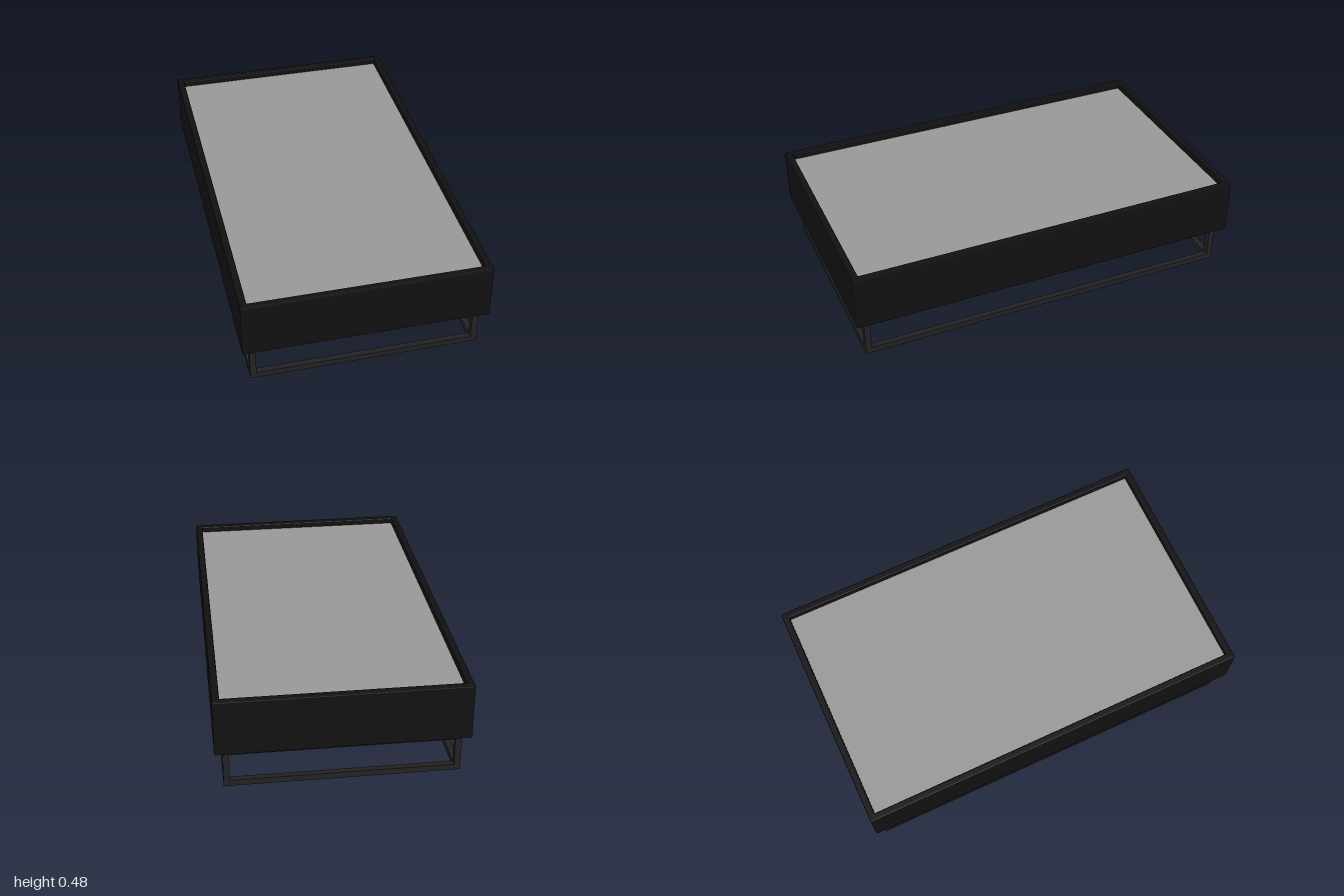
import * as THREE from 'three';

// Rectangle centred on the origin with small rounded corners
function roundedRect(path, hw, hd, r) {
  path.moveTo(-hw + r, -hd);
  path.lineTo(hw - r, -hd);
  path.quadraticCurveTo(hw, -hd, hw, -hd + r);
  path.lineTo(hw, hd - r);
  path.quadraticCurveTo(hw, hd, hw - r, hd);
  path.lineTo(-hw + r, hd);
  path.quadraticCurveTo(-hw, hd, -hw, hd - r);
  path.lineTo(-hw, -hd + r);
  path.quadraticCurveTo(-hw, -hd, -hw + r, -hd);
  return path;
}

export function createModel() {
  const model = new THREE.Group();
  model.name = 'coffeeTable';

  const caseMat = new THREE.MeshStandardMaterial({ color: 0x111111 });
  const frameMat = new THREE.MeshStandardMaterial({ color: 0x222222 });
  const panelMat = new THREE.MeshStandardMaterial({ color: 0x999999 });

  const W = 1.19, D = 2, bottom = 0.2, top = 0.48, rim = 0.035, bevel = 0.006;

  function box(name, parent, mat, w, h, d, x, y, z) {
    const mesh = new THREE.Mesh(new THREE.BoxGeometry(w, h, d), mat);
    mesh.name = name;
    mesh.position.set(x, y, z);
    parent.add(mesh);
  }

  // Case walls: a softly bevelled ring, open at the top
  const shape = roundedRect(new THREE.Shape(), W / 2, D / 2, 0.008);
  shape.holes.push(roundedRect(new THREE.Path(), W / 2 - rim, D / 2 - rim, 0.002));
  const ring = new THREE.ExtrudeGeometry(shape, {
    depth: top - bottom - 2 * bevel,
    bevelEnabled: true, bevelThickness: bevel, bevelSize: bevel,
    bevelOffset: -bevel, bevelSegments: 2, curveSegments: 3,
  });
  ring.rotateX(-Math.PI / 2);
  ring.translate(0, bottom + bevel, 0);
  const walls = new THREE.Mesh(ring, caseMat);
  walls.name = 'caseWalls';
  model.add(walls);

  // Underside of the case and the recessed top panel
  box('caseBottom', model, caseMat, W - rim, 0.02, D - rim, 0, bottom + 0.009, 0);
  box('topPanel', model, panelMat, W - 2 * rim + 0.004, 0.02, D - 2 * rim + 0.004, 0, top - 0.042, 0);

  // Open base frame of square bars
  const frame = new THREE.Group();
  frame.name = 'baseFrame';
  model.add(frame);
  const bar = 0.03, fx = 0.557 - bar / 2, fz = 0.957 - bar / 2;
  for (const s of [-1, 1]) {
    for (const [level, y] of [['lower', bar / 2], ['upper', bottom - bar / 2]]) {
      box(level + 'CrossRail', frame, frameMat, 2 * fx + bar, bar, bar, 0, y, s * fz);
      box(level + 'SideRail', frame, frameMat, bar, bar, 2 * fz - bar, s * fx, y, 0);
    }
    for (const t of [-1, 1]) {
      box('leg', frame, frameMat, bar, bottom - 2 * bar, bar, s * fx, bottom / 2, t * fz);
    }
  }

  return model;
}
